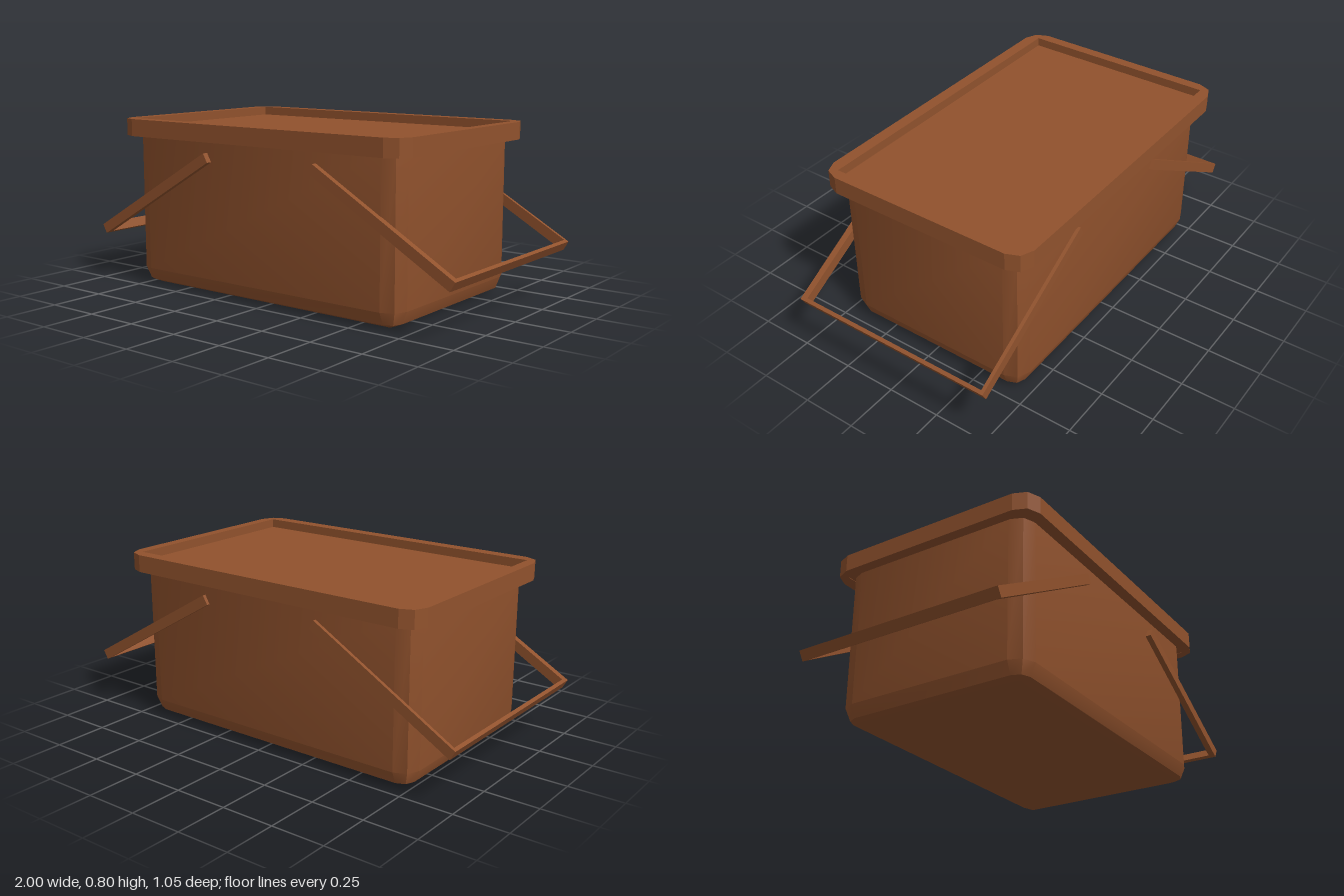
import * as THREE from 'three';
import { toCreasedNormals } from 'three/addons/utils/BufferGeometryUtils.js';

const CX = -0.03; // the box sits slightly off the handles' centre

// Rectangle outline with two-segment rounded corners, counter-clockwise
function outline(hx, hz, r) {
  const pts = [];
  const corners = [[1, 1], [-1, 1], [-1, -1], [1, -1]];
  corners.forEach(([sx, sz], i) => {
    for (let k = 0; k <= 2; k++) {
      const a = (i + k / 2) * Math.PI / 2;
      pts.push(new THREE.Vector2(sx * (hx - r) + r * Math.cos(a), sz * (hz - r) + r * Math.sin(a)));
    }
  });
  return pts;
}

// Tub lofted from stacked outlines, rounded towards the base
function tubGeometry(hx, hz, height, r) {
  const m = r * (1 - Math.SQRT1_2);
  const rings = [[0, r], [m, m], [r, 0], [height, 0]]; // [y, inset]
  const n = 12, pos = [], idx = [];
  for (const [y, inset] of rings) {
    for (const p of outline(hx - inset, hz - inset, r - inset)) pos.push(p.x, y, p.y);
  }
  for (let j = 0; j < rings.length - 1; j++) {
    for (let i = 0; i < n; i++) {
      const a = j * n + i, b = j * n + (i + 1) % n, c = a + n, d = b + n;
      // the base ring has coincident corner points, so skip its empty faces
      if (j > 0 || i % 3 === 2) idx.push(a, c, b);
      idx.push(b, c, d);
    }
  }
  const top = (rings.length - 1) * n;
  for (let i = 1; i < n - 1; i++) {
    if (i % 3 === 2) idx.push(0, i, i + 1);
    idx.push(top, top + i + 1, top + i);
  }
  const g = new THREE.BufferGeometry();
  g.setAttribute('position', new THREE.Float32BufferAttribute(pos, 3));
  g.setIndex(idx);
  return toCreasedNormals(g, Math.PI / 6);
}

export function createModel() {
  const model = new THREE.Group();
  model.name = 'picnicBasket';
  const brown = new THREE.MeshStandardMaterial({ color: 0x91522d });
  brown.name = 'brown';

  const add = (parent, name, geometry, x = 0, y = 0, z = 0) => {
    const mesh = new THREE.Mesh(geometry, brown);
    mesh.name = name;
    mesh.position.set(x, y, z);
    parent.add(mesh);
    return mesh;
  };

  // Body
  add(model, 'body', tubGeometry(0.745, 0.47, 0.725, 0.08), CX);

  // Lid: raised rim around a sunken panel
  const rim = new THREE.Shape(outline(0.795, 0.523, 0.083));
  const hx = 0.745, hz = 0.467;
  rim.holes.push(new THREE.Path([[-hx, -hz], [-hx, hz], [hx, hz], [hx, -hz]].map(p => new THREE.Vector2(...p))));
  const rimGeo = new THREE.ExtrudeGeometry(rim, { depth: 0.08, bevelEnabled: false });
  rimGeo.rotateX(-Math.PI / 2);
  add(model, 'lidRim', rimGeo, CX, 0.715);
  add(model, 'lidPanel', new THREE.BoxGeometry(2 * hx, 0.037, 2 * hz), CX, 0.7355);

  // Two U-shaped handles hanging out to the sides
  const length = 0.796, height = 0.047, bar = 0.017;
  for (const side of [1, -1]) {
    const handle = new THREE.Group();
    handle.name = side > 0 ? 'leftHandle' : 'rightHandle';
    handle.position.set(side * 0.298, 0.641, 0);
    handle.rotation.z = -side * Math.PI / 6;
    add(handle, 'frontArm', new THREE.BoxGeometry(length, height, 0.03), side * length / 2, 0, 0.482);
    add(handle, 'backArm', new THREE.BoxGeometry(length, height, 0.016), side * length / 2, 0, -0.489);
    add(handle, 'grip', new THREE.BoxGeometry(bar, height, 0.95), side * (length - bar / 2), 0, -0.007);
    model.add(handle);
  }
  return model;
}
